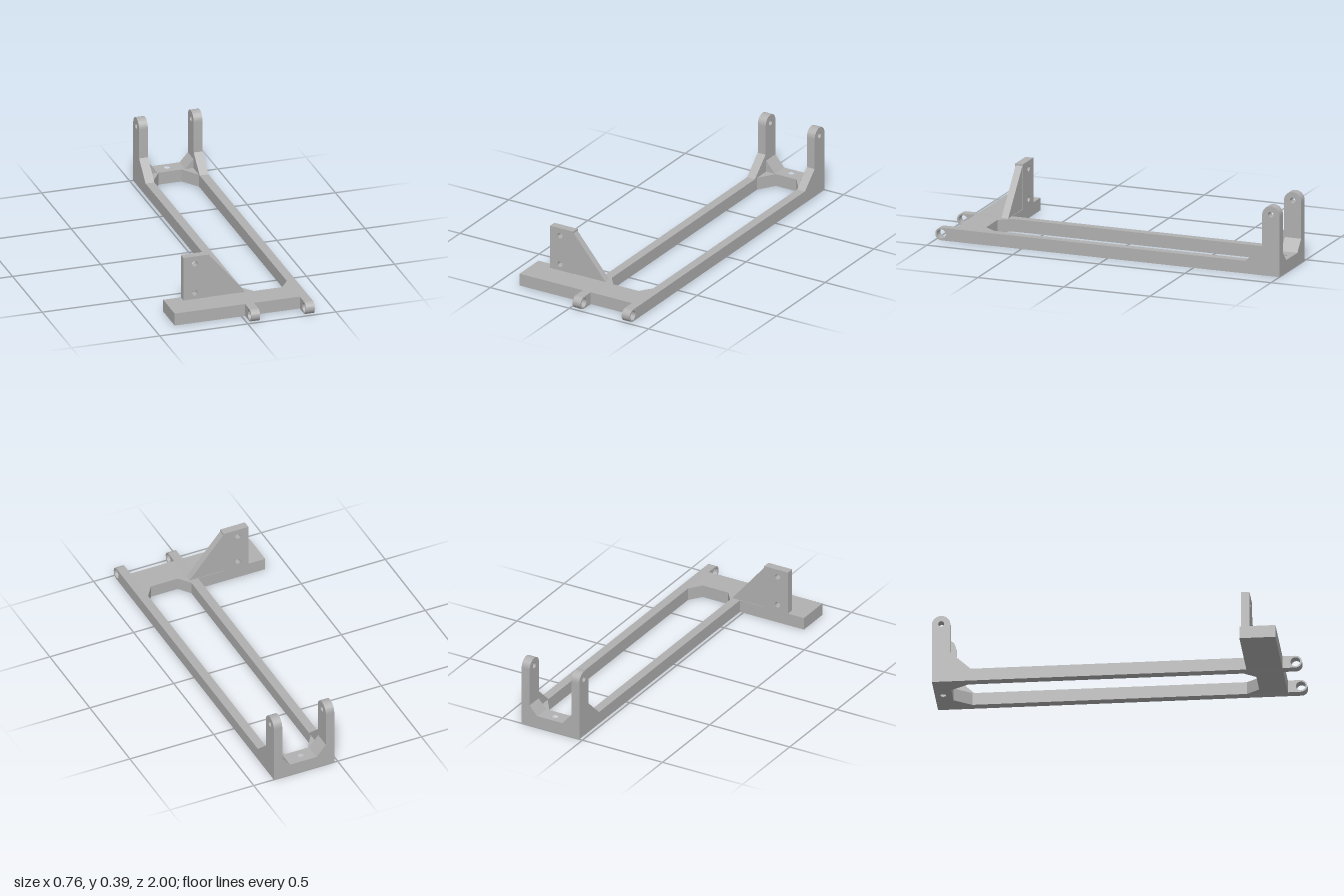
import * as THREE from 'three';
import { toCreasedNormals } from 'three/addons/utils/BufferGeometryUtils.js';

const H = 0.07; // frame thickness
const metal = new THREE.MeshStandardMaterial({ color: 0xb0b0b0 });
metal.name = 'grey metal';

function polygon(points) {
  return new THREE.Shape(points.map(([a, b]) => new THREE.Vector2(a, b)));
}

function drill(shape, a, b, r) {
  const hole = new THREE.Path();
  hole.absarc(a, b, r, 0, Math.PI * 2, true);
  shape.holes.push(hole);
}

function extrude(shape, depth) {
  return new THREE.ExtrudeGeometry(shape, { depth, bevelEnabled: false, curveSegments: 24 });
}

function addPart(group, name, geometry) {
  const mesh = new THREE.Mesh(toCreasedNormals(geometry, 0.5), metal);
  mesh.name = name;
  group.add(mesh);
}

// Plan outline given as [x, z], raised from the ground
function addSlab(group, name, points, hole) {
  const shape = polygon(points.map(([x, z]) => [x, -z]));
  if (hole) drill(shape, hole[0], -hole[1], hole[2]);
  addPart(group, name, extrude(shape, H).rotateX(-Math.PI / 2));
}

// Front outline given as [x, y], running from z0 to z1
function addPlate(group, name, shape, z0, z1) {
  addPart(group, name, extrude(shape, z1 - z0).translate(0, 0, z0));
}

// Side profile: rounded eye at the front, gusset and rounded upright at the rear
function railProfile(gussetTop, gussetEnd) {
  const s = new THREE.Shape();
  s.moveTo(-1, 0);
  s.lineTo(1 - H / 2, 0);
  s.absarc(1 - H / 2, H / 2, H / 2, -Math.PI / 2, Math.PI / 2, false);
  s.lineTo(gussetEnd, H);
  s.lineTo(-0.9, gussetTop);
  s.lineTo(-0.9, 0.34);
  s.absarc(-0.95, 0.34, 0.05, 0, Math.PI, false);
  s.lineTo(-1, 0);
  drill(s, 1 - H / 2, H / 2, 0.026);
  drill(s, -0.95, 0.343, 0.016);
  return s;
}

export function createModel() {
  const group = new THREE.Group();
  group.name = 'bracketFrame';

  // Long side rails with uprights
  for (const [name, x1, top, end] of [
    ['rightRail', 0.07, 0.172, -0.79],
    ['leftRail', 0.38, 0.163, -0.8],
  ]) {
    const geometry = extrude(railProfile(top, end), 0.05);
    addPart(group, name, geometry.rotateY(-Math.PI / 2).translate(x1, 0, 0));
  }

  // Rear crossbar with corner braces and a mounting hole
  addSlab(group, 'rearCrossbar', [
    [0.07, -1], [0.33, -1], [0.33, -0.81], [0.263, -0.905], [0.132, -0.905], [0.07, -0.81],
  ], [0.197, -0.955, 0.016]);

  // Front crossbar between the rails, with corner braces
  addSlab(group, 'frontCrossbar', [
    [0.07, 0.895], [0.33, 0.895], [0.33, 0.675], [0.28, 0.745], [0.12, 0.745], [0.07, 0.68],
  ]);

  // Side extension of the front crossbar
  addSlab(group, 'sideArm', [[-0.38, 0.895], [0.02, 0.895], [0.02, 0.7], [-0.38, 0.7]]);

  // Inner gussets between the uprights and the rear crossbar
  addPlate(group, 'rightUprightGusset', polygon([[0.07, H], [0.125, H], [0.07, 0.135]]), -1, -0.905);
  addPlate(group, 'leftUprightGusset', polygon([[0.33, H], [0.33, 0.123], [0.283, H]]), -1, -0.905);

  // Drilled mounting plate and its triangular brace
  const plate = polygon([[-0.28, H], [-0.132, H], [-0.132, 0.32], [-0.28, 0.32]]);
  drill(plate, -0.216, 0.276, 0.016);
  drill(plate, -0.216, 0.106, 0.016);
  addPlate(group, 'mountingPlate', plate, 0.7, 0.745);
  addPlate(group, 'plateBrace', polygon([[-0.132, H], [0.07, H], [-0.132, 0.311]]), 0.703, 0.742);

  return group;
}
